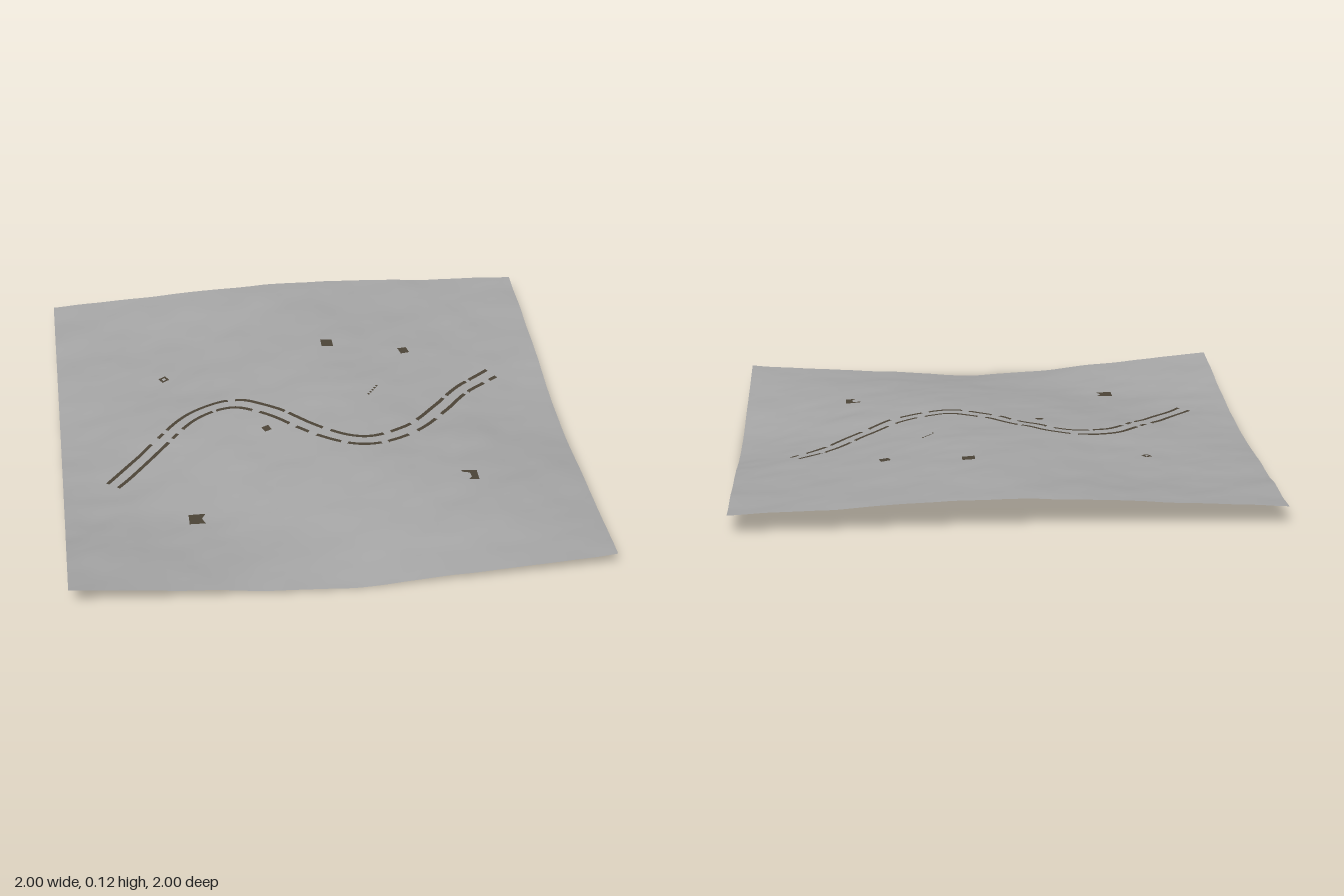
import * as THREE from 'three';

// Broad relief: rows run from back (z = -1) to front (z = 1), columns from x = -1 to 1
const RELIEF = [
  [0.077, 0.105, 0.125, 0.107, 0.085],
  [0.055, 0.072, 0.118, 0.088, 0.055],
  [0.035, 0.076, 0.1, 0.073, 0.008],
  [0.055, 0.042, 0.07, 0.068, 0.035],
  [0.1, 0.048, 0.01, 0.038, 0.07],
];
const SEGMENTS = 110;

function spline(p, t) {
  const s = (t + 1) * 2;
  const i = Math.min(3, Math.max(0, Math.floor(s)));
  const f = s - i;
  const b = p[i], c = p[i + 1];
  const a = i > 0 ? p[i - 1] : 2 * b - c;
  const d = i < 3 ? p[i + 2] : 2 * c - b;
  return b + 0.5 * f * (c - a + f * (2 * a - 5 * b + 4 * c - d + f * (3 * (b - c) + d - a)));
}

// Seeded value noise for the small bumps
function hash(i, j) {
  const s = Math.sin(i * 127.1 + j * 311.7 + 4.2) * 43758.5453;
  return (s - Math.floor(s)) * 2 - 1;
}
function noise(x, z) {
  const i = Math.floor(x), j = Math.floor(z);
  const u = THREE.MathUtils.smootherstep(x - i, 0, 1);
  const v = THREE.MathUtils.smootherstep(z - j, 0, 1);
  const { lerp } = THREE.MathUtils;
  return lerp(lerp(hash(i, j), hash(i + 1, j), u), lerp(hash(i, j + 1), hash(i + 1, j + 1), u), v);
}

function height(x, z) {
  const broad = spline(RELIEF.map((row) => spline(row, x)), z);
  const along = x - 0.6 * z, across = 0.6 * x + z; // bumps stretched along a diagonal
  return broad + 0.004 * noise(along * 4, across * 6) + 0.0015 * noise(along * 9 + 5, across * 13);
}

// Lays a flat geometry (in the xz plane) on the ground
function drape(geometry, lift) {
  const p = geometry.attributes.position;
  for (let i = 0; i < p.count; i++) p.setY(i, height(p.getX(i), p.getZ(i)) + lift);
  geometry.computeVertexNormals();
  return geometry;
}

// Ribbon beside the centre line; it sinks just under the ground inside the gaps
function trackGeometry(curve, offset, gaps) {
  const steps = 240, half = 0.0075, positions = [], index = [];
  for (let i = 0; i <= steps; i++) {
    const t = i / steps;
    const c = curve.getPointAt(t), d = curve.getTangentAt(t);
    const sunk = gaps.some(([a, b]) => t > a && t < b);
    for (const side of [-half, half]) {
      const x = c.x - d.z * (offset + side), z = c.z + d.x * (offset + side);
      positions.push(x, height(x, z) + (sunk ? -0.002 : 0.002), z);
    }
    const k = i * 2;
    if (i < steps) index.push(k, k + 1, k + 2, k + 1, k + 3, k + 2);
  }
  const g = new THREE.BufferGeometry();
  g.setAttribute('position', new THREE.Float32BufferAttribute(positions, 3));
  g.setIndex(index);
  g.computeVertexNormals();
  return g;
}

function outline(points) {
  return new THREE.Shape(points.map(([x, y]) => new THREE.Vector2(x, y)));
}
const square = (s) => [[-s, -s], [s, -s], [s, s], [-s, s]];

export function createModel() {
  const model = new THREE.Group();
  const ground = new THREE.MeshStandardMaterial({ color: 0xa6a6a6, side: THREE.DoubleSide });
  ground.name = 'greyGround';
  const dirt = new THREE.MeshStandardMaterial({ color: 0x4c4437, side: THREE.DoubleSide });
  dirt.name = 'darkDirt';

  const add = (name, geometry, material) => {
    const mesh = new THREE.Mesh(geometry, material);
    mesh.name = name;
    model.add(mesh);
    return mesh;
  };

  // Rolling ground sheet
  const sheet = drape(new THREE.PlaneGeometry(2, 2, SEGMENTS, SEGMENTS).rotateX(-Math.PI / 2), 0);
  add('terrain', sheet, ground);

  // Winding pair of wheel tracks
  const path = new THREE.CatmullRomCurve3([
    [-0.81, 0.31], [-0.7, 0.18], [-0.6, 0.06], [-0.46, -0.085], [-0.3, -0.127], [-0.14, -0.035],
    [0.02, 0.11], [0.18, 0.186], [0.37, 0.12], [0.52, -0.03], [0.64, -0.17], [0.78, -0.28],
  ].map(([x, z]) => new THREE.Vector3(x, 0, z)));
  add('backTrack', trackGeometry(path, -0.026, [
    [0.14, 0.16], [0.175, 0.19], [0.325, 0.34], [0.44, 0.45], [0.53, 0.55], [0.67, 0.685],
    [0.74, 0.76], [0.86, 0.875], [0.94, 0.95],
  ]), dirt);
  add('frontTrack', trackGeometry(path, 0.026, [
    [0.16, 0.175], [0.19, 0.205], [0.29, 0.3], [0.38, 0.4], [0.47, 0.485], [0.515, 0.53],
    [0.58, 0.595], [0.65, 0.665], [0.71, 0.73], [0.79, 0.81], [0.9, 0.915], [0.965, 0.98],
  ]), dirt);

  // Bare patches: position, turn and outline
  const ring = outline(square(0.016));
  ring.holes.push(new THREE.Path(square(0.007).map(([x, y]) => new THREE.Vector2(x, y))));
  const patches = [
    [0.123, -0.503, 0, outline(square(0.024))],
    [0.437, -0.44, 0.25, outline(square(0.019))],
    [-0.567, -0.377, 0.5, ring],
    [-0.19, 0.06, 0.4, outline(square(0.015))],
    [-0.505, 0.558, 0, outline([[-0.032, -0.03], [0.03, -0.03], [0.016, 0], [0.032, 0.028], [-0.032, 0.028]])],
    [0.558, 0.437, 0, outline([[-0.03, 0.03], [-0.03, 0.02], [0, 0.014], [0.004, -0.012], [-0.012, -0.03],
      [0.03, -0.03], [0.03, 0.03]])],
  ];
  // Row of small flecks
  for (let i = 0; i < 5; i++) {
    patches.push([0.245 + i * 0.01, -0.125 - i * 0.014, 0.6, outline(square(0.0045))]);
  }
  patches.forEach(([x, z, turn, shape], i) => {
    const g = new THREE.ShapeGeometry(shape).rotateX(-Math.PI / 2).rotateY(turn).translate(x, 0, z);
    add(i < 6 ? 'barePatch' : 'fleck', drape(g, 0.003), dirt);
  });

  // Rest the lowest point on y = 0
  sheet.computeBoundingBox();
  model.position.y = -sheet.boundingBox.min.y;
  return model;
}
